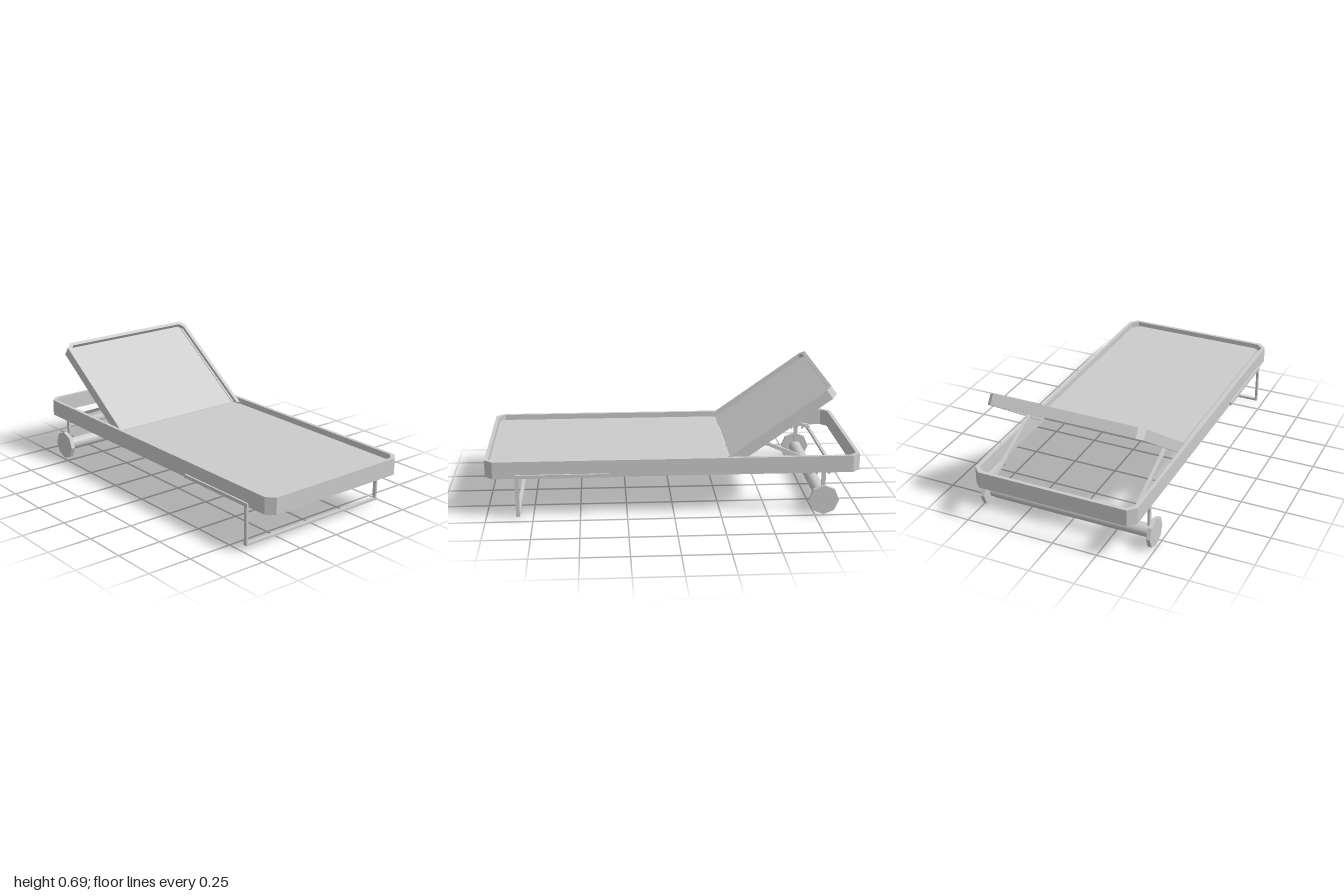
import * as THREE from 'three';

const mat = new THREE.MeshStandardMaterial({ color: 0xcccccc, flatShading: true, side: THREE.DoubleSide });
const smooth = new THREE.MeshStandardMaterial({ color: 0xcccccc });

function add(parent, name, geo, material = mat) {
  const m = new THREE.Mesh(geo, material);
  m.name = name;
  parent.add(m);
  return m;
}

function box(parent, name, x0, x1, y0, y1, z0, z1) {
  const m = add(parent, name, new THREE.BoxGeometry(x1 - x0, y1 - y0, z1 - z0));
  m.position.set((x0 + x1) / 2, (y0 + y1) / 2, (z0 + z1) / 2);
  return m;
}

// Square bar between two points
function bar(parent, name, a, b, t) {
  const A = new THREE.Vector3(...a), B = new THREE.Vector3(...b);
  const m = add(parent, name, new THREE.BoxGeometry(t, t, A.distanceTo(B)));
  m.position.copy(A).add(B).multiplyScalar(0.5);
  m.lookAt(B);
  return m;
}

// Rectangle outline with chamfers at its low (c0) and high (c1) ends
function outline(w, y0, y1, c0, c1) {
  const p = [[-w + c0, y0], [w - c0, y0], [w, y0 + c0], [w, y1 - c1],
    [w - c1, y1], [-w + c1, y1], [-w, y1 - c1], [-w, y0 + c0]];
  return p.map(([x, y]) => new THREE.Vector2(x, y));
}

function slab(points, depth, hole) {
  const s = new THREE.Shape(points);
  if (hole) s.holes.push(new THREE.Path(hole));
  return new THREE.ExtrudeGeometry(s, { depth, bevelEnabled: false });
}

// Lays a slab flat, so that its outline's y runs to -z
function flat(parent, name, geo, y) {
  const m = add(parent, name, geo);
  m.rotation.x = -Math.PI / 2;
  m.position.y = y;
}

export function createModel() {
  const g = new THREE.Group();
  g.name = 'sunLounger';

  // Outer frame and bed
  flat(g, 'frame', slab(outline(0.457, -1, 1, 0.042, 0.042), 0.092,
    outline(0.437, -0.98, 0.98, 0.034, 0.034)), 0.225);
  flat(g, 'bedLedge', slab(outline(0.437, -0.98, 0.3, 0.034, 0), 0.01), 0.274);
  flat(g, 'bedPanel', slab(outline(0.41, -0.97, 0.303, 0.02, 0), 0.01), 0.284);
  box(g, 'bedRearRail', -0.437, 0.437, 0.262, 0.284, -0.3, -0.28);

  // Tilted backrest: three-sided rim around a recessed panel
  const back = new THREE.Group();
  back.name = 'backrest';
  back.position.set(0, 0.317, -0.3);
  back.rotation.x = -0.958;
  g.add(back);
  const rim = [[-0.433, -0.035], [-0.433, 0.617], [-0.402, 0.648], [0.402, 0.648], [0.433, 0.617], [0.433, -0.035],
    [0.411, -0.035], [0.411, 0.604], [0.39, 0.627], [-0.39, 0.627], [-0.411, 0.604], [-0.411, -0.035]]
    .map(([x, y]) => new THREE.Vector2(x, y));
  add(back, 'backrestRim', slab(rim, 0.057)).position.z = -0.057;
  add(back, 'backrestPanel', slab(outline(0.411, -0.009, 0.628, 0, 0.022), 0.012)).position.z = -0.034;
  // Narrow border strips along the panel
  for (const s of [-1, 1])
    box(back, 'panelEdge', s * 0.405 - 0.006, s * 0.405 + 0.006, -0.005, 0.605, -0.03, -0.018);

  // Backrest prop with its crossbar
  for (const s of [-1, 1]) {
    bar(g, 'propArm', [s * 0.4, 0.39, -0.465], [s * 0.4, 0.217, -0.875], 0.018);
    bar(g, 'propCorner', [s * 0.405, 0.215, -0.865], [s * 0.375, 0.204, -0.875], 0.016);
    // Notched rack under the rail
    box(g, 'rack', s * 0.425 - 0.012, s * 0.425 + 0.012, 0.222, 0.234, -0.87, -0.72);
    for (let i = 0; i < 4; i++) {
      const t = box(g, 'rackTooth', s * 0.42 - 0.008, s * 0.42 + 0.008, 0.205, 0.226, -0.742 - i * 0.033, -0.734 - i * 0.033);
      t.rotation.x = -0.4;
    }
  }
  box(g, 'propCrossbar', -0.38, 0.38, 0.196, 0.212, -0.883, -0.867);

  // Front leg loop
  for (const s of [-1, 1]) {
    box(g, 'legMount', s * 0.462 - 0.005, s * 0.462 + 0.005, 0.226, 0.245, 0.34, 0.84);
    box(g, 'frontLeg', s * 0.461 - 0.006, s * 0.461 + 0.006, 0.015, 0.245, 0.82, 0.84);
  }
  box(g, 'frontLegCrossbar', -0.467, 0.467, 0.015, 0.027, 0.82, 0.84);

  // Axle, wheels and brackets
  const axle = add(g, 'axle', new THREE.CylinderGeometry(0.035, 0.035, 0.914, 32), smooth);
  axle.rotation.z = Math.PI / 2;
  axle.position.set(0, 0.081, -0.8);
  for (const s of [-1, 1]) {
    const wheel = add(g, 'wheel', new THREE.CylinderGeometry(0.081, 0.081, 0.021, 8));
    wheel.rotation.z = Math.PI / 2;
    wheel.position.set(s * 0.478, 0.081, -0.8);
    const hub = add(g, 'wheelHub', new THREE.CylinderGeometry(0.02, 0.02, 0.02, 16), smooth);
    hub.rotation.z = Math.PI / 2;
    hub.position.set(s * 0.462, 0.081, -0.8);
    box(g, 'wheelBracket', s * 0.451 - 0.006, s * 0.451 + 0.006, 0.081, 0.23, -0.811, -0.789);
  }
  return g;
}
